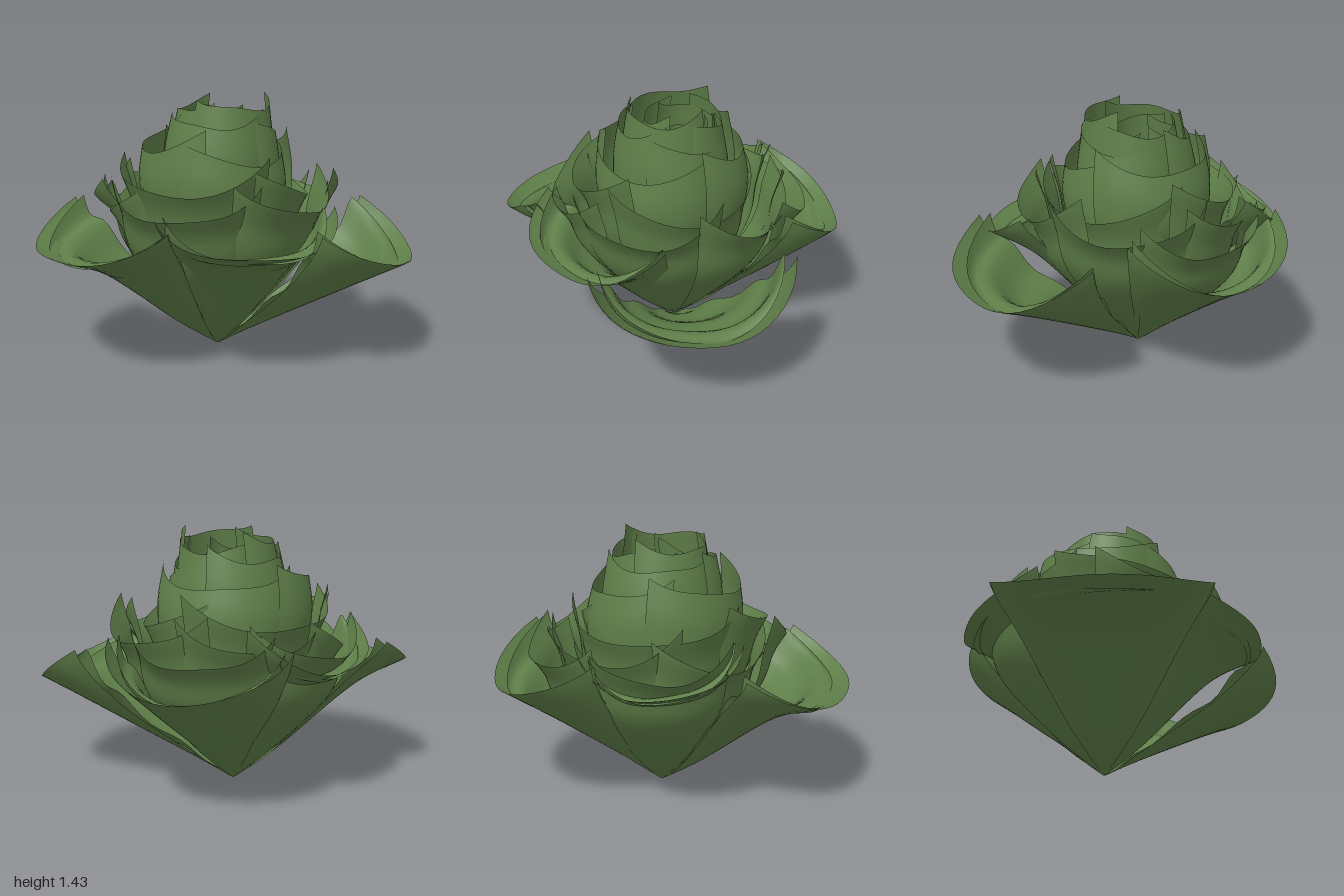
import * as THREE from 'three';

const green = new THREE.MeshStandardMaterial({ color: 0x5f7f49, side: THREE.DoubleSide });
green.name = 'leaf green';

// Centre-line profiles as fractions of petal reach and rim height
const profiles = {
  open: [[0, 0], [0.22, 0.24], [0.7, 0.72], [1, 1]],
  flared: [[0, 0], [0.25, 0.27], [0.68, 0.8], [1, 1]],
  cup: [[0, 0], [0.36, 0.27], [0.78, 0.65], [0.9, 0.88], [1, 1]],
  bowl: [[0, 0], [0.5, 0.36], [0.95, 0.66], [1.06, 0.84], [1, 1]],
  bud: [[0, 0], [0.5, 0.4], [0.98, 0.68], [1.03, 0.84], [0.92, 1]],
};

// One petal: a cupped fan from the base, with raised, pulled-in corners
function petal({ profile, dir, half, reach, rim, lift, pull = 0.18, twist = 0, shift = [0, 0], phase = 0, ripple = 0 }) {
  const curve = new THREE.SplineCurve(profiles[profile].map(p => new THREE.Vector2(...p)));
  const rows = 24, cols = 24, pos = [], index = [];
  const rad = Math.PI / 180;
  for (let i = 0; i <= rows; i++) {
    const t = i / rows, p = curve.getPoint(t);
    for (let j = 0; j <= cols; j++) {
      const s = j / cols * 2 - 1, a = Math.abs(s);
      const angle = (dir + s * half) * rad;
      const r = 0.006 + p.x * reach * (1 - pull * t * a ** 3 + twist * s);
      const wave = 0.012 * Math.sin(s * 5 + phase) * t ** 4;
      const fold = ripple * t * (0.6 + Math.sin(t * 24 + s * 2));
      const y = p.y * rim + lift * t * t * a ** 2.2 + wave + fold;
      pos.push(-0.08 + shift[0] * t + r * Math.cos(angle), y, shift[1] * t + r * Math.sin(angle));
      if (i < rows && j < cols) {
        const k = i * (cols + 1) + j, n = k + cols + 1;
        index.push(k, n, k + 1, k + 1, n, n + 1);
      }
    }
  }
  const g = new THREE.BufferGeometry();
  g.setAttribute('position', new THREE.Float32BufferAttribute(pos, 3));
  g.setIndex(index);
  g.computeVertexNormals();
  return new THREE.Mesh(g, green);
}

export function createModel() {
  const flower = new THREE.Group();
  flower.name = 'flower';

  // Large spread outer petals, each with a rippled lining
  const outer = new THREE.Group();
  outer.name = 'outerPetals';
  [
    ['open', 0, 1.075, 0.56, 0.23, 37], ['flared', 55, 0.85, 0.68, 0.17, 44], ['flared', 132, 1.01, 0.62, 0.19, 43],
    ['flared', 206, 0.77, 0.74, 0.22, 42], ['open', 272, 0.91, 0.66, 0.22, 41],
  ].forEach(([profile, dir, reach, rim, lift, half], i) => {
    const shape = { profile, dir, half, reach, rim, lift, phase: i };
    const blade = petal(shape);
    blade.name = 'outerPetal' + (i + 1);
    const lining = petal({ ...shape, half: half * 0.96, reach: reach * 0.93, rim: rim * 0.96, ripple: 0.03 });
    lining.name = 'petalLining' + (i + 1);
    outer.add(blade, lining);
  });
  flower.add(outer);

  // Inner whorls, from the wide cups to the closed bud
  const whorls = [
    { name: 'backCup', profile: 'cup', count: 2, step: 66, start: 206, half: 36, reach: 0.7, rim: 0.77, lift: 0.16, twist: 0, shift: [0, 0] },
    { name: 'lowerCup', profile: 'cup', count: 5, step: 72, start: 22, half: 44, reach: 0.63, rim: 0.82, lift: 0.18, twist: 0.05, shift: [0.02, 0.02] },
    { name: 'middleCup', profile: 'cup', count: 3, step: 120, start: 100, half: 67, reach: 0.52, rim: 0.92, lift: 0.17, twist: 0.05, shift: [0, 0.04] },
    { name: 'innerBowl', profile: 'bowl', count: 3, step: 120, start: 150, half: 70, reach: 0.39, rim: 1.11, lift: 0.12, twist: 0.05, shift: [0, 0.04] },
    { name: 'budOuter', profile: 'bud', count: 3, step: 120, start: 85, half: 70, reach: 0.31, rim: 1.24, lift: 0.08, twist: 0.06, shift: [0.04, 0.01] },
    { name: 'budMiddle', profile: 'bud', count: 3, step: 120, start: 40, half: 72, reach: 0.27, rim: 1.33, lift: 0.06, twist: 0.05, shift: [0.05, 0] },
    { name: 'budInner', profile: 'bud', count: 3, step: 120, start: 100, half: 76, reach: 0.19, rim: 1.26, lift: 0.06, twist: 0.09, shift: [0.01, -0.02] },
    { name: 'budHeart', profile: 'bud', count: 2, step: 180, start: 10, half: 105, reach: 0.11, rim: 1.16, lift: 0.05, twist: 0.12, shift: [-0.01, -0.04] },
  ];
  for (const w of whorls) {
    const group = new THREE.Group();
    group.name = w.name;
    for (let i = 0; i < w.count; i++) {
      const m = petal({
        ...w, pull: 0.1, dir: w.start + i * w.step, phase: i * 2.3,
        reach: w.reach * (1 + 0.04 * Math.sin(i * 2.1)), rim: w.rim + 0.03 * Math.sin(i * 1.9 + 1),
      });
      m.name = w.name + 'Petal' + (i + 1);
      group.add(m);
    }
    flower.add(group);
  }
  return flower;
}
